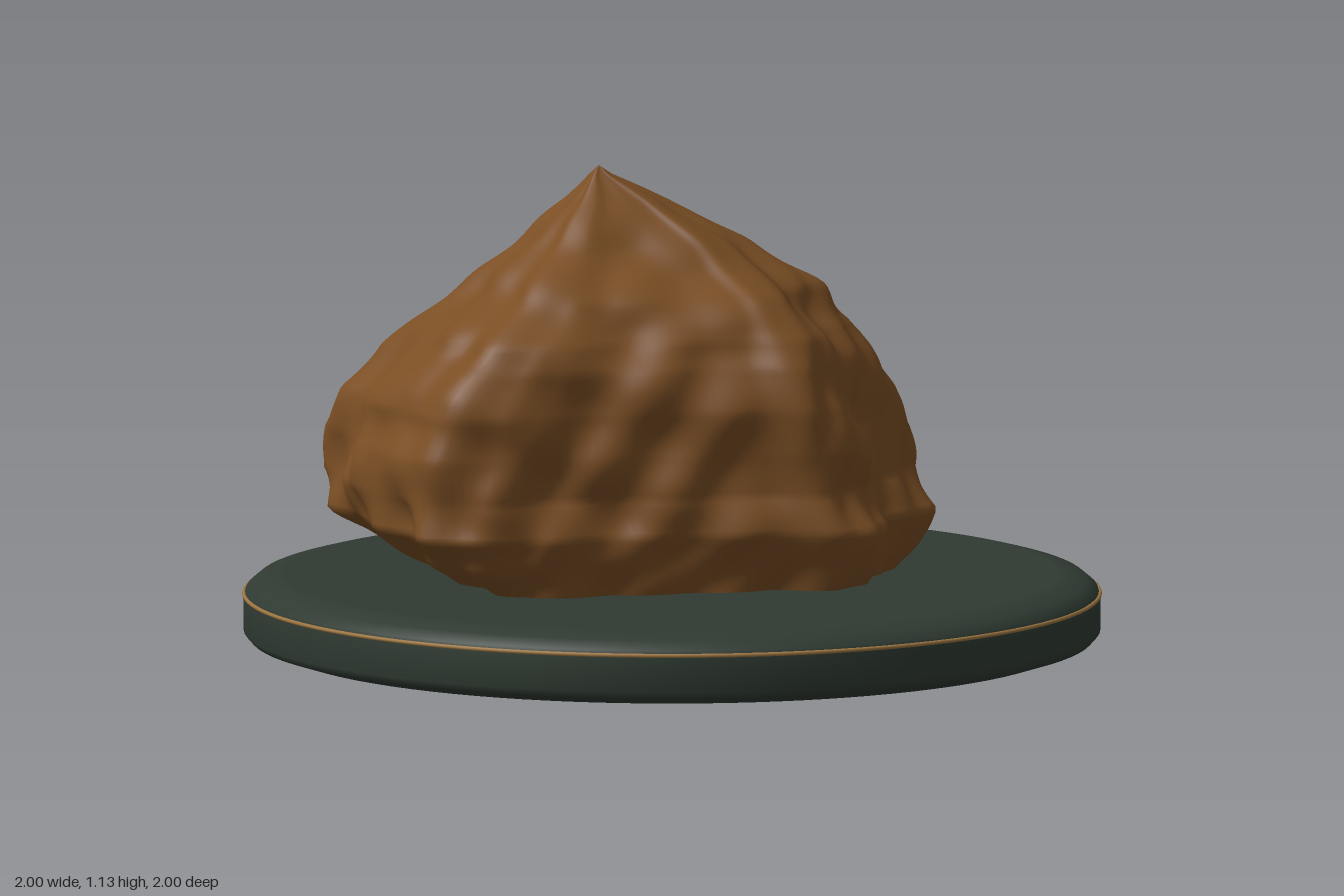
import * as THREE from 'three';

const rockBrown = new THREE.MeshStandardMaterial({ color: 0x7a4e24 });
rockBrown.name = 'rock brown';
const baseGreen = new THREE.MeshStandardMaterial({ color: 0x2f3a32 });
baseGreen.name = 'dark green base';
const rimGold = new THREE.MeshStandardMaterial({ color: 0x9c7642 });
rimGold.name = 'gold rim';

// Footprint of the rock [x, z], seen from above
const OUTLINE = [
  [-0.77, -0.34], [-0.57, -0.41], [-0.42, -0.47], [-0.22, -0.52], [0, -0.54],
  [0.18, -0.5], [0.33, -0.47], [0.39, -0.36], [0.54, -0.32], [0.59, -0.2],
  [0.645, -0.05], [0.58, 0.07], [0.5, 0.15], [0.45, 0.3], [0.33, 0.41],
  [0.2, 0.38], [0, 0.38], [-0.3, 0.37], [-0.5, 0.4], [-0.67, 0.33],
  [-0.7, 0.2], [-0.76, 0.05], [-0.75, -0.15],
];

// Extents of the rock by height: y, xMin, xMax, zMin, zMax
const LEVELS = [
  [0.15, -0.48, 0.51, -0.33, 0.34], [0.22, -0.61, 0.58, -0.4, 0.37],
  [0.31, -0.75, 0.64, -0.49, 0.41], [0.4, -0.77, 0.59, -0.53, 0.39],
  [0.5, -0.76, 0.57, -0.49, 0.4], [0.6, -0.73, 0.53, -0.43, 0.4],
  [0.7, -0.65, 0.47, -0.38, 0.38], [0.76, -0.58, 0.43, -0.33, 0.35],
  [0.85, -0.46, 0.34, -0.26, 0.27], [0.95, -0.35, 0.19, -0.2, 0.14],
  [1.05, -0.24, 0.0, -0.12, 0.04], [1.11, -0.19, -0.13, -0.065, -0.02],
  [1.13, -0.17, -0.16, -0.045, -0.04],
];

// Linear interpolation of the extents at height y
function extentsAt(y) {
  let k = 0;
  while (k < LEVELS.length - 2 && LEVELS[k + 1][0] < y) k++;
  const a = LEVELS[k], b = LEVELS[k + 1];
  const t = (y - a[0]) / (b[0] - a[0]);
  return a.map((v, i) => v + (b[i] - v) * t);
}

// Slanted ripples that form the weathered ridges
function ripple(x, y, z) {
  const bend = Math.sin(3.1 * x + 2.3 * z + 1.7 * y);
  return 0.009 * Math.sin(26 * y + 9 * x - 12 * z + 2.5 * bend)
    + 0.007 * Math.sin(24 * x - 17 * y + 19 * z + 3 * bend)
    + 0.005 * Math.sin(38 * z + 21 * y - 33 * x + 2 * bend);
}

function rockGeometry() {
  const around = 180, rings = 90;
  const curve = new THREE.CatmullRomCurve3(
    OUTLINE.map(([x, z]) => new THREE.Vector3(x, 0, z)), true, 'centripetal');
  const outline = curve.getSpacedPoints(around).slice(0, around);
  const positions = [], indices = [];
  for (let i = 0; i <= rings; i++) {
    const [y, x0, x1, z0, z1] = extentsAt(0.15 + 0.98 * i / rings);
    const fade = Math.min(1, (x1 - x0) / 0.8);
    for (let j = 0; j < around; j++) {
      const p = outline[j];
      const x = x0 + (x1 - x0) * (p.x + 0.775) / 1.42;
      const z = z0 + (z1 - z0) * (p.z + 0.54) / 0.95;
      const cx = (x0 + x1) / 2, cz = (z0 + z1) / 2;
      const r = Math.hypot(x - cx, z - cz) || 1;
      const d = ripple(x, y, z) * fade - 0.004;
      const s = Math.max(0.2, 1 + d / r);
      positions.push(cx + (x - cx) * s, y, cz + (z - cz) * s);
    }
  }
  for (let i = 0; i < rings; i++) {
    for (let j = 0; j < around; j++) {
      const k = (j + 1) % around;
      const a = i * around + j, b = i * around + k;
      const c = a + around, d = b + around;
      indices.push(a, c, b, b, c, d);
    }
  }
  // Peak cap
  const tip = positions.length / 3;
  positions.push(-0.165, 1.132, -0.043);
  for (let j = 0; j < around; j++) {
    indices.push(rings * around + j, tip, rings * around + (j + 1) % around);
  }
  const geometry = new THREE.BufferGeometry();
  geometry.setAttribute('position', new THREE.Float32BufferAttribute(positions, 3));
  geometry.setIndex(indices);
  geometry.computeVertexNormals();
  return geometry;
}

function lathe(points) {
  return new THREE.LatheGeometry(points.map(([r, y]) => new THREE.Vector2(r, y)), 96);
}

export function createModel() {
  const model = new THREE.Group();
  model.name = 'rock on display base';

  const add = (name, geometry, material) => {
    const mesh = new THREE.Mesh(geometry, material);
    mesh.name = name;
    model.add(mesh);
  };

  // Round plinth with bevelled edges
  add('base', lathe([
    [0, 0], [0.9, 0], [0.92, 0.003], [0.98, 0.022], [0.996, 0.04], [0.997, 0.12],
    [0.99, 0.137], [0.965, 0.158], [0.92, 0.17], [0.9, 0.172], [0, 0.172],
  ]), baseGreen);

  // Thin metal line around the plinth
  const rim = new THREE.TorusGeometry(0.995, 0.005, 8, 96);
  rim.rotateX(Math.PI / 2);
  rim.translate(0, 0.126, 0);
  add('rim line', rim, rimGold);

  add('rock', rockGeometry(), rockBrown);
  return model;
}
